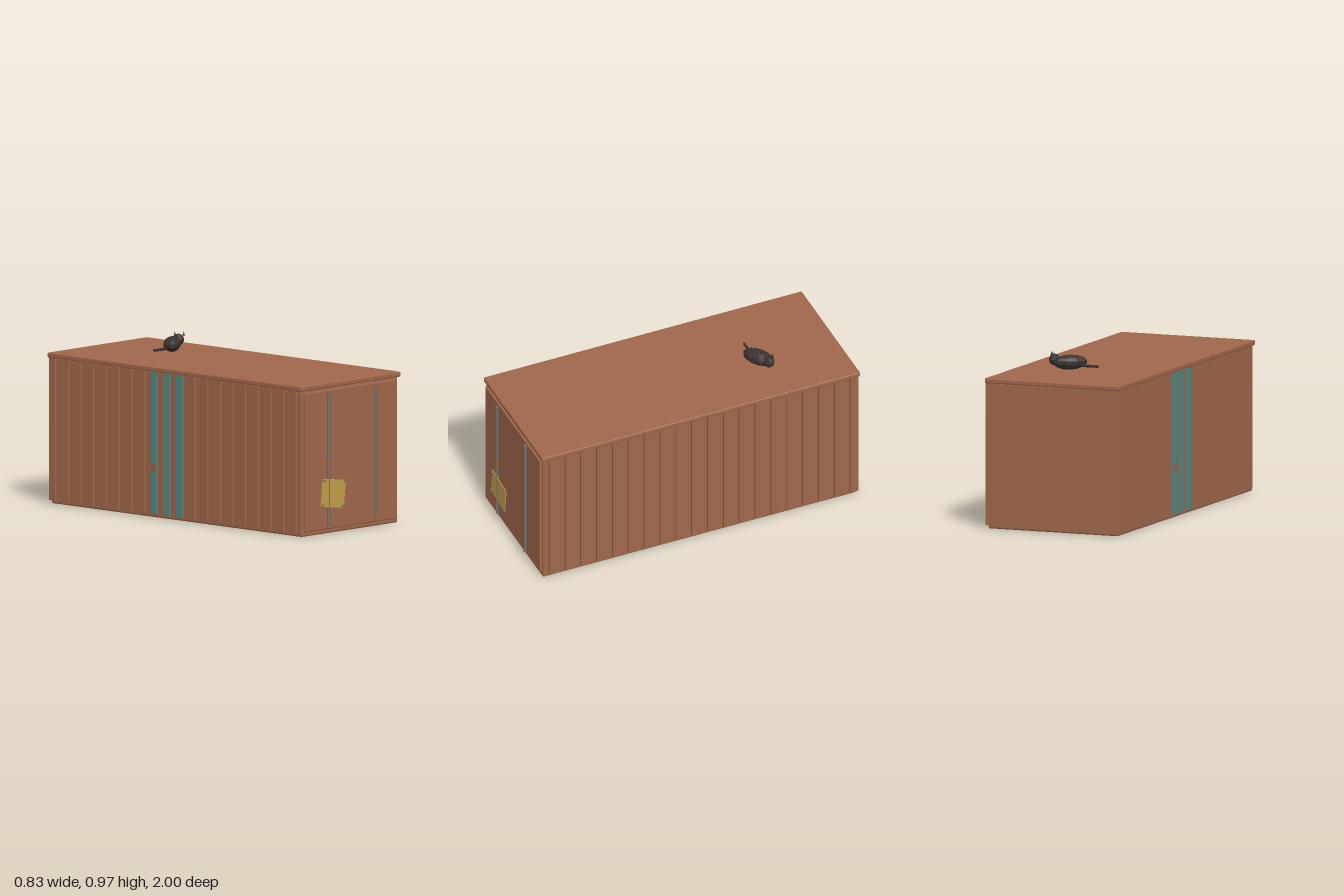
import * as THREE from 'three';
import { RoundedBoxGeometry } from 'three/addons/geometries/RoundedBoxGeometry.js';

const mat = (name, color, flatShading = false) => {
  const m = new THREE.MeshStandardMaterial({ color, flatShading });
  m.name = name;
  return m;
};

export function createModel() {
  const model = new THREE.Group();
  model.name = 'shippingContainer';

  const paint = mat('containerPaint', 0xa0674b);
  const teal = mat('tealPaint', 0x528882);
  const steel = mat('steel', 0x707274);
  const rust = mat('rust', 0x9c6648);
  const brass = mat('brassPlate', 0xc39e4b);
  const fur = mat('darkFur', 0x3a322e, true);

  const add = (parent, name, geometry, material, x = 0, y = 0, z = 0) => {
    const mesh = new THREE.Mesh(geometry, material);
    mesh.name = name;
    mesh.position.set(x, y, z);
    parent.add(mesh);
    return mesh;
  };

  // Hull, overhanging roof and raised front door panel
  add(model, 'hull', new RoundedBoxGeometry(0.8, 0.838, 1.945, 2, 0.01), paint, 0, 0.419, -0.0075);
  add(model, 'roof', new RoundedBoxGeometry(0.828, 0.03, 1.975, 2, 0.008), paint, 0, 0.85, -0.0125);
  add(model, 'doorPanel', new RoundedBoxGeometry(0.766, 0.798, 0.03, 2, 0.006), paint, 0, 0.426, 0.963);

  // Corrugated sides: twenty ribs each, three of them teal on one side
  const ribGeometry = new THREE.BoxGeometry(0.02, 0.818, 0.048);
  const ribZ = (i) => 0.907 - i * 0.0984;
  for (const side of [-1, 1]) {
    for (let i = 0; i < 20; i++) {
      const isTeal = side < 0 && i >= 9 && i <= 11;
      add(model, isTeal ? 'tealRib' : 'rib', ribGeometry, isTeal ? teal : paint, side * 0.403, 0.429, ribZ(i));
    }
  }
  add(model, 'ribRust', new THREE.BoxGeometry(0.004, 0.05, 0.044), rust, -0.413, 0.29, ribZ(11));

  // Locking bars, with rusted sections
  const bar = (x, sections) => {
    const group = new THREE.Group();
    group.name = 'lockingBar';
    for (const [y0, y1, material] of sections) {
      add(group, material === rust ? 'rustedSection' : 'barSection',
        new THREE.CylinderGeometry(0.009, 0.009, y1 - y0, 8), material, x, (y0 + y1) / 2, 0.985);
    }
    model.add(group);
  };
  bar(-0.197, [[0.045, 0.372, steel], [0.372, 0.43, rust], [0.43, 0.81, steel]]);
  bar(0.195, [[0.045, 0.075, rust], [0.075, 0.81, steel]]);

  // Tilted plate with a bolt at each corner
  const plate = new THREE.Group();
  plate.name = 'plate';
  plate.position.set(-0.165, 0.23, 0.99);
  plate.rotation.z = -0.12;
  add(plate, 'plateSheet', new THREE.BoxGeometry(0.193, 0.16, 0.004), brass);
  for (const sx of [-1, 1]) {
    for (const sy of [-1, 1]) {
      const bolt = add(plate, 'bolt', new THREE.CylinderGeometry(0.007, 0.007, 0.01, 8), steel, sx * 0.086, sy * 0.07, 0.005);
      bolt.rotation.x = Math.PI / 2;
    }
  }
  model.add(plate);

  // Cat resting on the roof
  const cat = new THREE.Group();
  cat.name = 'cat';
  const body = add(cat, 'catBody', new THREE.SphereGeometry(1, 10, 7), fur, 0.097, 0.908, -0.506);
  body.scale.set(0.1, 0.043, 0.05);
  body.rotation.y = 0.63;
  const head = add(cat, 'catHead', new THREE.SphereGeometry(0.033, 8, 6), fur, 0.18, 0.923, -0.535);
  head.rotation.y = 0.63;
  for (const side of [-1, 1]) {
    add(cat, 'catEar', new THREE.ConeGeometry(0.011, 0.026, 4), fur, 0.189 + side * 0.015, 0.956, -0.537 + side * 0.02);
  }
  const tail = add(cat, 'catTail', new THREE.CylinderGeometry(0.008, 0.009, 0.12, 6), fur, -0.01, 0.89, -0.491);
  tail.rotation.z = Math.PI / 2;
  model.add(cat);

  return model;
}
